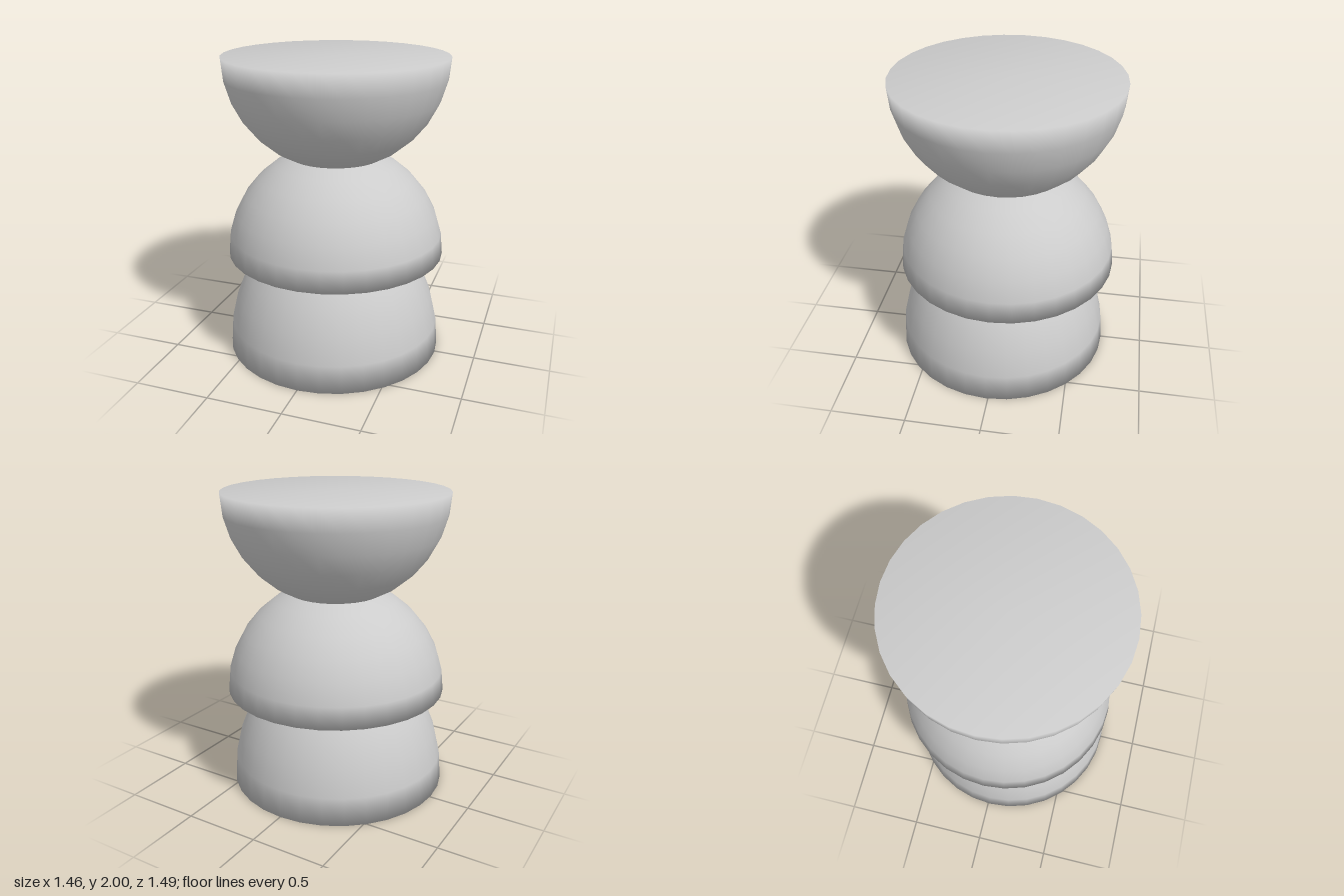
import * as THREE from 'three';

const RADIUS = 0.73;
const SEGMENTS = 32;
const RINGS = 8;

// Closed dome: flat base at y = 0 that shades smoothly into the curved shell
function domeGeometry(height) {
  const profile = [new THREE.Vector2(0, 0)];
  for (let i = 0; i <= RINGS; i++) {
    const a = (i / RINGS) * Math.PI / 2;
    profile.push(new THREE.Vector2(i === RINGS ? 0 : RADIUS * Math.cos(a), height * Math.sin(a)));
  }
  const geometry = new THREE.LatheGeometry(profile, SEGMENTS);

  // Shorten the normals at the base centre so the base blends evenly to its rim
  const normal = geometry.attributes.normal;
  for (let s = 0; s <= SEGMENTS; s++) normal.setXYZ(s * profile.length, 0, -0.7, 0);
  return geometry;
}

export function createModel() {
  const model = new THREE.Group();
  const grey = new THREE.MeshStandardMaterial({ color: 0xcccccc });
  grey.name = 'plainGrey';

  const addDome = (name, height, y, z, inverted = false) => {
    const dome = new THREE.Mesh(domeGeometry(height), grey);
    dome.name = name;
    dome.position.set(0, y, z);
    if (inverted) dome.rotation.x = Math.PI;
    model.add(dome);
  };

  addDome('baseDome', 0.95, 0, 0.015);
  addDome('middleDome', RADIUS, 0.68, -0.015);
  addDome('topBowl', RADIUS, 2, -0.015, true);
  return model;
}
